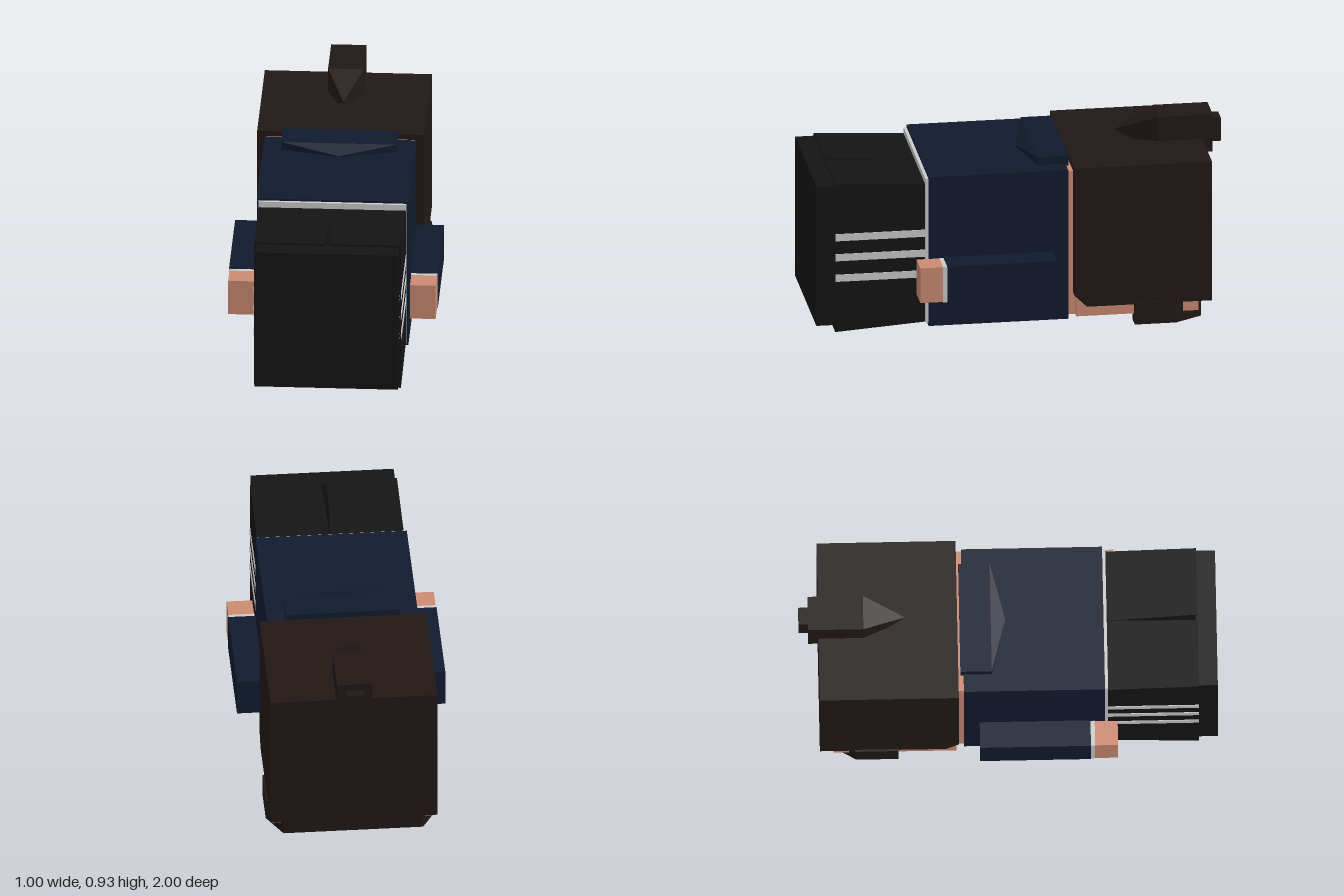
import * as THREE from 'three';
import { ConvexGeometry } from 'three/addons/geometries/ConvexGeometry.js';

const mat = (color) => new THREE.MeshStandardMaterial({ color, flatShading: true });
const HAIR = mat(0x211816), NAVY = mat(0x111a2e), BLACK = mat(0x141414);
const SKIN = mat(0xcb8a72), GREY = mat(0xcccccc);

export function createModel() {
  const model = new THREE.Group();

  const add = (name, geometry, material) => {
    const mesh = new THREE.Mesh(geometry, material);
    mesh.name = name;
    model.add(mesh);
    return mesh;
  };
  // Box given by its limits on each axis
  const box = (name, material, [x0, x1], [y0, y1], [z0, z1]) => {
    const g = new THREE.BoxGeometry(x1 - x0, y1 - y0, z1 - z0);
    g.translate((x0 + x1) / 2, (y0 + y1) / 2, (z0 + z1) / 2);
    return add(name, g, material);
  };
  // The same box on one side, s = 1 or -1
  const sideBox = (name, material, s, [a, b], y, z) =>
    box(name, material, s > 0 ? [a, b] : [-b, -a], y, z);
  const hull = (name, material, points) =>
    add(name, new ConvexGeometry(points.map((p) => new THREE.Vector3(...p))), material);
  const shape = (points) => new THREE.Shape(points.map((p) => new THREE.Vector2(...p)));

  // Torso, shirt hem and neck
  box('jacket', NAVY, [-0.363, 0.363], [0.03, 0.79], [-0.215, 0.46]);
  box('shirtHem', GREY, [-0.355, 0.355], [0.045, 0.78], [0.45, 0.475]);
  box('neck', SKIN, [-0.355, 0.355], [0.05, 0.78], [-0.26, -0.2]);

  // Hood folded on the upper back
  hull('hood', NAVY, [-1, 1].flatMap((s) => [
    [s * 0.275, 0.77, -0.23], [s * 0.275, 0.83, -0.23],
    [s * 0.275, 0.77, -0.08], [s * 0.275, 0.83, -0.08],
  ]).concat([[0, 0.77, -0.01], [0, 0.795, -0.01]]));

  // Shirt showing in the neckline, with the jacket edge around it
  const flat = (name, material, points, y, depth) => {
    const g = new THREE.ExtrudeGeometry(shape(points), { depth, bevelEnabled: false });
    g.rotateX(Math.PI / 2); // shape y becomes z, extrusion goes down
    g.translate(0, y + depth, 0);
    return add(name, g, material);
  };
  flat('neckline', GREY,
    [[-0.23, -0.215], [0.23, -0.215], [0.2, -0.12], [0.06, -0.04], [-0.06, -0.04], [-0.2, -0.12]], 0.024, 0.02);
  for (const s of [-1, 1]) {
    flat('collar', NAVY, [[s * 0.3, -0.215], [s * 0.22, -0.215], [s * 0.19, -0.13],
      [s * 0.05, -0.05], [0, -0.05], [0, -0.015], [s * 0.08, -0.02], [s * 0.25, -0.11]], 0.018, 0.02);
    sideBox('drawstring', NAVY, s, [0.045, 0.07], [0, 0.035], [-0.01, 0.27]);
  }

  for (const s of [-1, 1]) {
    // Arm
    sideBox('sleeve', NAVY, s, [0.37, 0.5], [0.195, 0.38], [-0.14, 0.39]);
    sideBox('cuff', GREY, s, [0.372, 0.498], [0.198, 0.378], [0.39, 0.41]);
    sideBox('hand', SKIN, s, [0.374, 0.497], [0.2, 0.377], [0.41, 0.52]);

    // Leg, flaring towards the foot and parting slightly at the seam
    const leg = sideBox('leg', BLACK, s, [0, 0.352], [0.05, 0.75], [0.47, 0.91]).geometry;
    const p = leg.attributes.position;
    for (let i = 0; i < p.count; i++) {
      if (p.getZ(i) < 0.9) continue;
      p.setY(i, p.getY(i) > 0.4 ? 0.775 : 0.02);
      if (Math.abs(p.getX(i)) < 0.1) p.setX(i, s * 0.014);
    }
    leg.computeVertexNormals();
    for (const y of [0.295, 0.4, 0.502])
      sideBox('legStripe', GREY, s, [0.345, 0.355], [y - 0.018, y + 0.018], [0.472, 0.91]);
  }
  box('shoes', BLACK, [-0.343, 0.343], [0.053, 0.765], [0.9, 1.0]);

  // Head with face features on its underside
  box('head', SKIN, [-0.39, 0.39], [0.05, 0.78], [-0.25, -0.84]);
  model.children.at(-1).geometry.dispose();
  model.children.at(-1).geometry = new THREE.BoxGeometry(0.78, 0.73, 0.59).translate(0, 0.415, -0.545);
  for (const s of [-1, 1]) {
    sideBox('brow', HAIR, s, [0.05, 0.18], [0.03, 0.06], [-0.59, -0.56]);
    sideBox('eye', HAIR, s, [0.08, 0.13], [0.03, 0.06], [-0.53, -0.47]);
    sideBox('lash', HAIR, s, [0.12, 0.17], [0.03, 0.06], [-0.56, -0.51]);
  }
  box('mouth', HAIR, [-0.045, 0.045], [0.03, 0.06], [-0.4, -0.375]);

  // Hair block, cut off at the lower neck corner
  const hair = new THREE.ExtrudeGeometry(
    shape([[0.24, 0.16], [0.3, 0.1], [0.905, 0.1], [0.905, 0.808], [0.24, 0.808]]),
    { depth: 0.8, bevelEnabled: false });
  hair.rotateY(Math.PI / 2); // shape x becomes -z
  hair.translate(-0.4, 0, 0);
  add('hair', hair, HAIR);

  // Fringe framing the face with a stepped hairline
  flat('fringe', HAIR, [
    [-0.41, -0.53], [-0.41, -0.73], [-0.335, -0.86], [0.335, -0.86], [0.41, -0.73], [0.41, -0.53],
    [0.34, -0.53], [0.3, -0.59], [0.29, -0.65], [0.2, -0.65], [0.17, -0.7], [0.07, -0.7],
    [0, -0.72], [-0.07, -0.72], [-0.12, -0.66], [-0.25, -0.65], [-0.3, -0.59], [-0.34, -0.53],
  ], 0, 0.11);

  // Hair tail with a pointed end and a small tie
  hull('hairTail', HAIR, [-1, 1].flatMap((s) => [
    [s * 0.085, 0.93, -0.69], [s * 0.085, 0.93, -0.955],
    [s * 0.085, 0.74, -0.69], [s * 0.085, 0.74, -0.955],
  ]).concat([[0, 0.85, -0.49]]));
  box('hairTie', HAIR, [-0.043, 0.043], [0.777, 0.895], [-1.0, -0.95]);

  return model;
}
